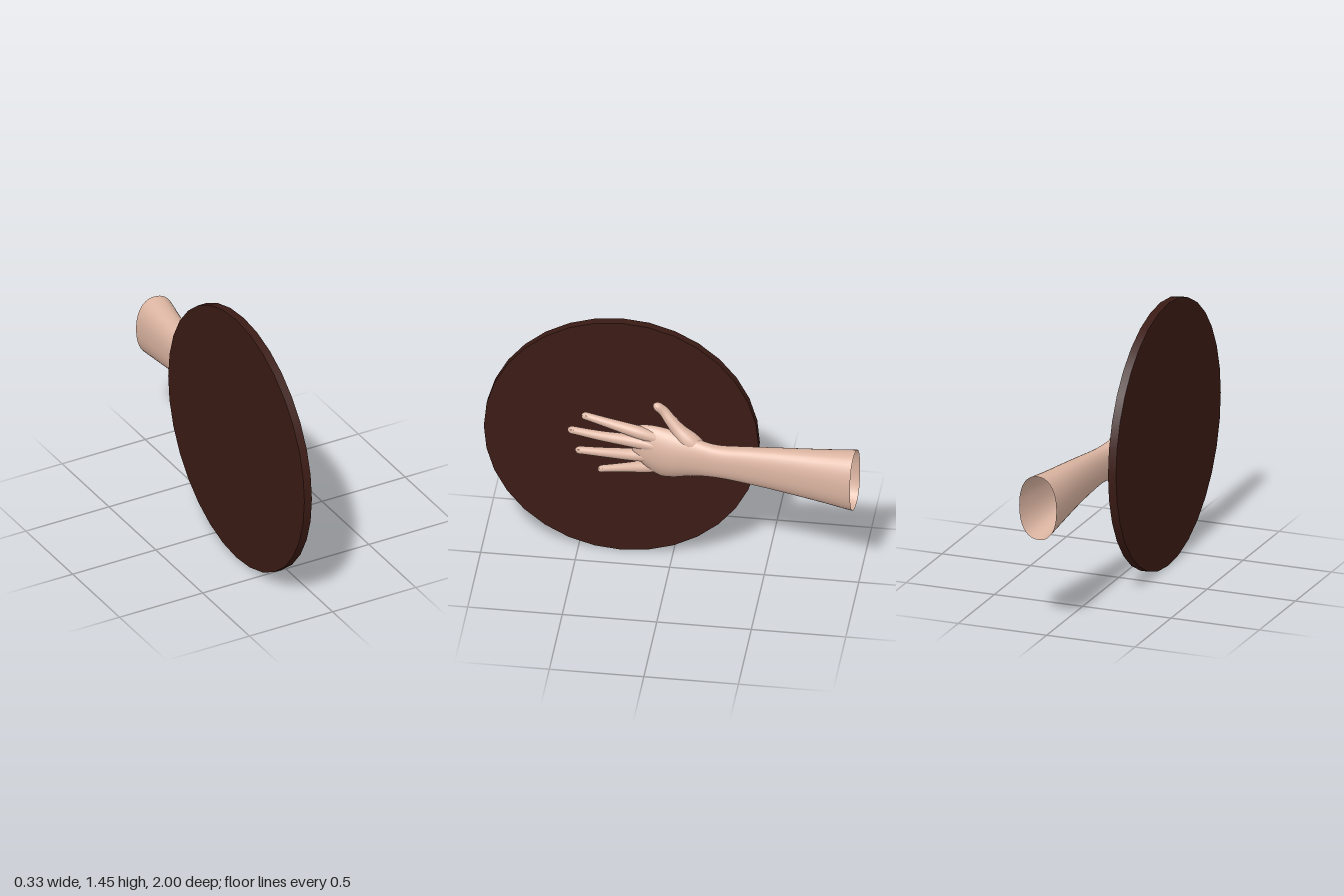
import * as THREE from 'three';

const skin = new THREE.MeshStandardMaterial({ color: 0xdcb5a2, side: THREE.DoubleSide });
const darkWood = new THREE.MeshStandardMaterial({ color: 0x3b1b15 });
const V = (x, y, z) => new THREE.Vector3(x, y, z);

// Skin a list of rings (each an equal-length loop of points, counterclockwise about the path).
function loft(rings) {
  const n = rings[0].length, index = [];
  for (let i = 0; i < rings.length - 1; i++) {
    for (let j = 0; j < n; j++) {
      const k = (j + 1) % n, a = i * n, b = a + n;
      index.push(a + j, a + k, b + j, a + k, b + k, b + j);
    }
  }
  const geo = new THREE.BufferGeometry().setFromPoints(rings.flat());
  geo.setIndex(index);
  geo.computeVertexNormals();
  return geo;
}

function addMesh(group, name, geo, mat) {
  const mesh = new THREE.Mesh(geo, mat);
  mesh.name = name;
  group.add(mesh);
  return mesh;
}

// Forearm, wrist and palm as one tube: [z, x, y, rx, ry, arch]
const SECTIONS = [
  [-1, 0.055, 0.693, 0.11, 0.175, 0],
  [-0.8, 0.042, 0.698, 0.092, 0.151, 0],
  [-0.6, 0.028, 0.704, 0.074, 0.128, 0],
  [-0.42, 0.014, 0.706, 0.061, 0.109, 0],
  [-0.25, 0, 0.705, 0.053, 0.096, 0.1],
  [-0.12, -0.02, 0.702, 0.052, 0.115, 0.8],
  [-0.01, -0.026, 0.698, 0.052, 0.143, 1.2],
  [0.09, -0.032, 0.703, 0.044, 0.153, 1.2],
  [0.16, -0.038, 0.715, 0.035, 0.142, 1.0],
  [0.195, -0.043, 0.725, 0.02, 0.115, 0.8],
  [0.205, -0.045, 0.725, 0.001, 0.08, 0.8],
];

function armGeometry() {
  const curve = (pick) => new THREE.CatmullRomCurve3(SECTIONS.map(pick), false, 'catmullrom', 0.5);
  const centres = curve(s => V(s[1], s[2], s[0]));
  const sizes = curve(s => V(s[3], s[4], s[5]));
  const rings = [], steps = 70, sides = 40;
  for (let i = 0; i <= steps; i++) {
    const c = centres.getPoint(i / steps), s = sizes.getPoint(i / steps), ring = [];
    for (let j = 0; j < sides; j++) {
      const a = j / sides * Math.PI * 2, ca = Math.cos(a), sa = Math.sin(a);
      const dx = s.x * Math.sign(ca) * Math.abs(ca) ** 0.88;
      const dy = s.y * Math.sign(sa) * Math.abs(sa) ** 0.88;
      // The palm edge recedes toward the little finger; the elbow end is cut at a slant.
      const recede = THREE.MathUtils.smoothstep(c.z, 0, 0.2) * Math.min(0, dy + 0.02) * 0.6;
      const slant = THREE.MathUtils.smoothstep(-c.z, 0.8, 1) * (dx + 0.11) * 0.11;
      ring.push(V(c.x + dx - s.z * dy * dy, c.y + dy, c.z + recede + slant));
    }
    rings.push(ring);
  }
  return loft(rings);
}

// Frame on a finger path: t along it, up toward the back of the hand, side across.
function frameAt(curve, u) {
  const t = curve.getTangentAt(u);
  const side = t.clone().cross(V(1, 0, 0)).normalize();
  return { p: curve.getPointAt(u), t, side, up: side.clone().cross(t) };
}

// Tapered finger with a round tip
function fingerGeometry(curve, radii) {
  const rings = [], steps = 40, sides = 20, length = curve.getLength();
  const taper = new THREE.SplineCurve(radii.map((r, i) => new THREE.Vector2(i, r)));
  for (let i = 0; i <= steps; i++) {
    const u = 1 - (1 - i / steps) ** 1.6;
    const { p, side, up } = frameAt(curve, u);
    const cap = Math.max(0, 1 - (1 - u) * length / (radii.at(-1) * 1.4));
    const r = taper.getPoint(u).y * Math.sqrt(Math.max(0, 1 - cap * cap));
    rings.push(Array.from({ length: sides }, (_, j) => {
      const a = j / sides * Math.PI * 2;
      return p.clone().addScaledVector(up, r * Math.cos(a)).addScaledVector(side, r * Math.sin(a));
    }));
  }
  return loft(rings);
}

const FINGERS = [
  { name: 'indexFinger', path: [[-0.045, 0.78, 0.03], [-0.038, 0.825, 0.17], [-0.06, 0.853, 0.33], [-0.08, 0.88, 0.478]], radii: [0.034, 0.034, 0.026, 0.02] },
  { name: 'middleFinger', path: [[-0.025, 0.745, 0.01], [-0.032, 0.769, 0.19], [-0.055, 0.772, 0.38], [-0.09, 0.773, 0.552]], radii: [0.034, 0.034, 0.026, 0.02] },
  { name: 'ringFinger', path: [[-0.028, 0.695, 0.01], [-0.036, 0.682, 0.17], [-0.065, 0.66, 0.35], [-0.09, 0.645, 0.512]], radii: [0.034, 0.034, 0.026, 0.02] },
  { name: 'littleFinger', path: [[-0.05, 0.64, -0.02], [-0.054, 0.602, 0.12], [-0.075, 0.565, 0.26], [-0.095, 0.53, 0.392]], radii: [0.036, 0.034, 0.024, 0.018] },
  { name: 'thumb', path: [[-0.03, 0.735, -0.17], [-0.05, 0.82, -0.065], [-0.072, 0.893, 0.005], [-0.086, 0.94, 0.045], [-0.08, 0.984, 0.095]], radii: [0.045, 0.052, 0.037, 0.029, 0.024] },
];

export function createModel() {
  const model = new THREE.Group();

  // Upright round board behind the palm
  const disc = addMesh(model, 'disc', new THREE.CylinderGeometry(0.727, 0.727, 0.045, 32), darkWood);
  disc.rotation.z = Math.PI / 2;
  disc.position.set(-0.147, 0.727, 0.273);

  // Arm and hand
  const arm = new THREE.Group();
  arm.name = 'arm';
  model.add(arm);
  addMesh(arm, 'forearmAndPalm', armGeometry(), skin);

  for (const { name, path, radii } of FINGERS) {
    const curve = new THREE.CatmullRomCurve3(path.map(p => V(...p)));
    addMesh(arm, name, fingerGeometry(curve, radii), skin);
    if (name === 'thumb') continue;
    // Fingernail on the back of the tip
    const { p, t, side, up } = frameAt(curve, 0.945);
    const nail = addMesh(arm, name + 'Nail', new THREE.SphereGeometry(1, 16, 10), skin);
    nail.quaternion.setFromRotationMatrix(new THREE.Matrix4().makeBasis(up, side, t));
    nail.position.copy(p).addScaledVector(up, radii.at(-1) * 0.85);
    nail.scale.set(0.005, 0.013, 0.02);
  }
  return model;
}
